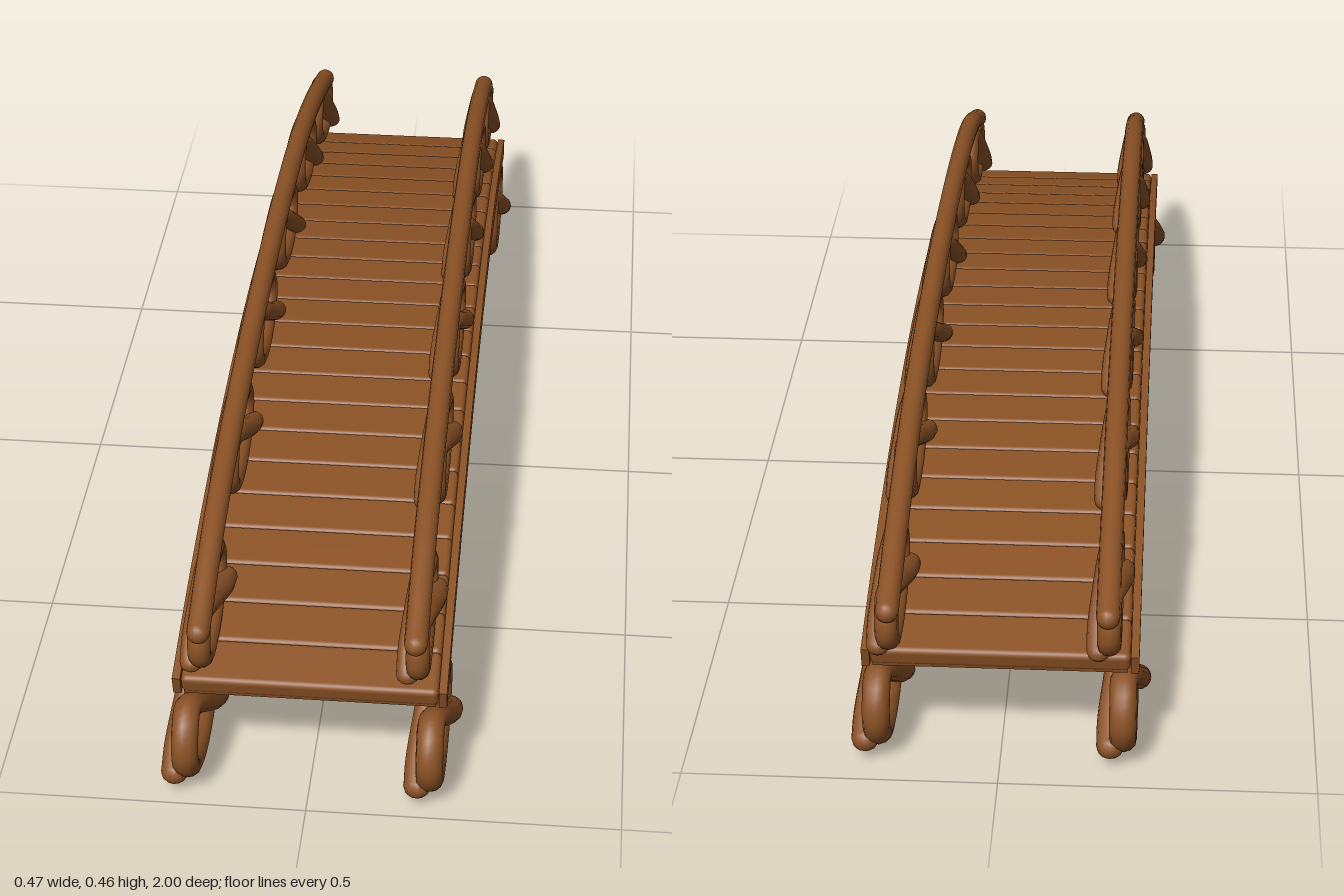
import * as THREE from 'three';
import { mergeGeometries } from 'three/addons/utils/BufferGeometryUtils.js';
import { RoundedBoxGeometry } from 'three/addons/geometries/RoundedBoxGeometry.js';

const V = (x, y, z) => new THREE.Vector3(x, y, z);

// Deck arc: a large circle in the y-z plane
const R = 3.63, TOP = 0.32, HALF = 0.26; // HALF is the arc's half angle
const arcPoint = (a, depth) => V(0, TOP - R + (R - depth) * Math.cos(a), (R - depth) * Math.sin(a));

// Round rope with domed ends
function rope(points, radius, segments, sides) {
  const curve = new THREE.CatmullRomCurve3(points);
  const parts = [new THREE.TubeGeometry(curve, segments, radius, sides)];
  for (const p of [points[0], points[points.length - 1]]) {
    parts.push(new THREE.SphereGeometry(radius, sides, 8).translate(p.x, p.y, p.z));
  }
  return mergeGeometries(parts);
}

// Twisted knot lying in the y-z plane, its two ends crossing and resting on the loop
function knotGeometry() {
  const half = [
    [0.018, -0.047, -0.1], [0.018, -0.024, -0.062], [0.012, 0.014, -0.008],
    [0.006, 0.044, 0.035], [0, 0.058, 0.07], [0, 0.04, 0.103], [0, 0, 0.115],
    [0, -0.037, 0.094], [0, -0.056, 0.05],
  ];
  const points = half.map(([x, y, z]) => V(x, y, z));
  points.push(V(0, -0.062, 0));
  for (const [x, y, z] of [...half].reverse()) points.push(V(-x, y, -z));
  return rope(points, 0.02, 90, 12).scale(1.1, 1, 1);
}

// Curved strip of the deck arc, extruded along x
function arcStrip(x, width, depthA, depthB) {
  const shape = new THREE.Shape();
  const n = 32;
  for (let i = 0; i <= n; i++) {
    const p = arcPoint(-HALF + (2 * HALF * i) / n, depthA);
    if (i === 0) shape.moveTo(-p.z, p.y);
    else shape.lineTo(-p.z, p.y);
  }
  for (let i = n; i >= 0; i--) {
    const p = arcPoint(-HALF + (2 * HALF * i) / n, depthB);
    shape.lineTo(-p.z, p.y);
  }
  const geo = new THREE.ExtrudeGeometry(shape, { depth: width, bevelEnabled: false });
  return geo.rotateY(Math.PI / 2).translate(x - width / 2, 0, 0);
}

export function createModel() {
  const model = new THREE.Group();
  const brown = new THREE.MeshStandardMaterial({ color: 0x8b5225 });
  brown.name = 'baked brown';

  const add = (name, geometry, parent = model) => {
    const mesh = new THREE.Mesh(geometry, brown);
    mesh.name = name;
    parent.add(mesh);
    return mesh;
  };

  // Arched deck of soft-edged planks
  const deck = new THREE.Group();
  deck.name = 'deck';
  model.add(deck);
  const count = 23, step = (2 * HALF) / count;
  const plank = new RoundedBoxGeometry(0.408, 0.034, step * R + 0.003, 3, 0.009);
  for (let i = 0; i < count; i++) {
    const a = -HALF + step * (i + 0.5);
    const mesh = add('plank', plank, deck);
    mesh.position.copy(arcPoint(a, 0.016));
    mesh.rotation.x = a;
  }
  add('deckUnderside', arcStrip(0, 0.4, 0.028, 0.035), deck);

  // Rails, side beams, railing knots and feet on both sides
  const knot = knotGeometry();
  const railPath = [
    [0.31, 0.955], [0.375, 0.76], [0.42, 0.477], [0.443, 0],
    [0.418, -0.477], [0.363, -0.77], [0.302, -0.982],
  ];
  const knotPlaces = [
    [0.28, 0.84], [0.353, 0.475], [0.378, 0.13],
    [0.375, -0.21], [0.352, -0.545], [0.28, -0.875],
  ];
  for (const side of [-1, 1]) {
    const label = side > 0 ? 'left' : 'right';
    add(label + 'Beam', arcStrip(side * 0.211, 0.013, 0, 0.037));
    add(label + 'Handrail', rope(railPath.map(([y, z]) => V(side * 0.169, y, z)), 0.0185, 60, 14));

    for (const [y, z] of knotPlaces) {
      const mesh = add(label + 'RailingKnot', knot);
      mesh.position.set(side * 0.171, y, z);
      mesh.rotation.x = z / 3.6;
      mesh.scale.set(0.85, 0.82, 0.89);
    }
    for (const z of [0.865, -0.84]) {
      const mesh = add(label + (z > 0 ? 'FrontFoot' : 'BackFoot'), knot);
      mesh.position.set(side * 0.194, 0.082, z);
    }
  }
  return model;
}
